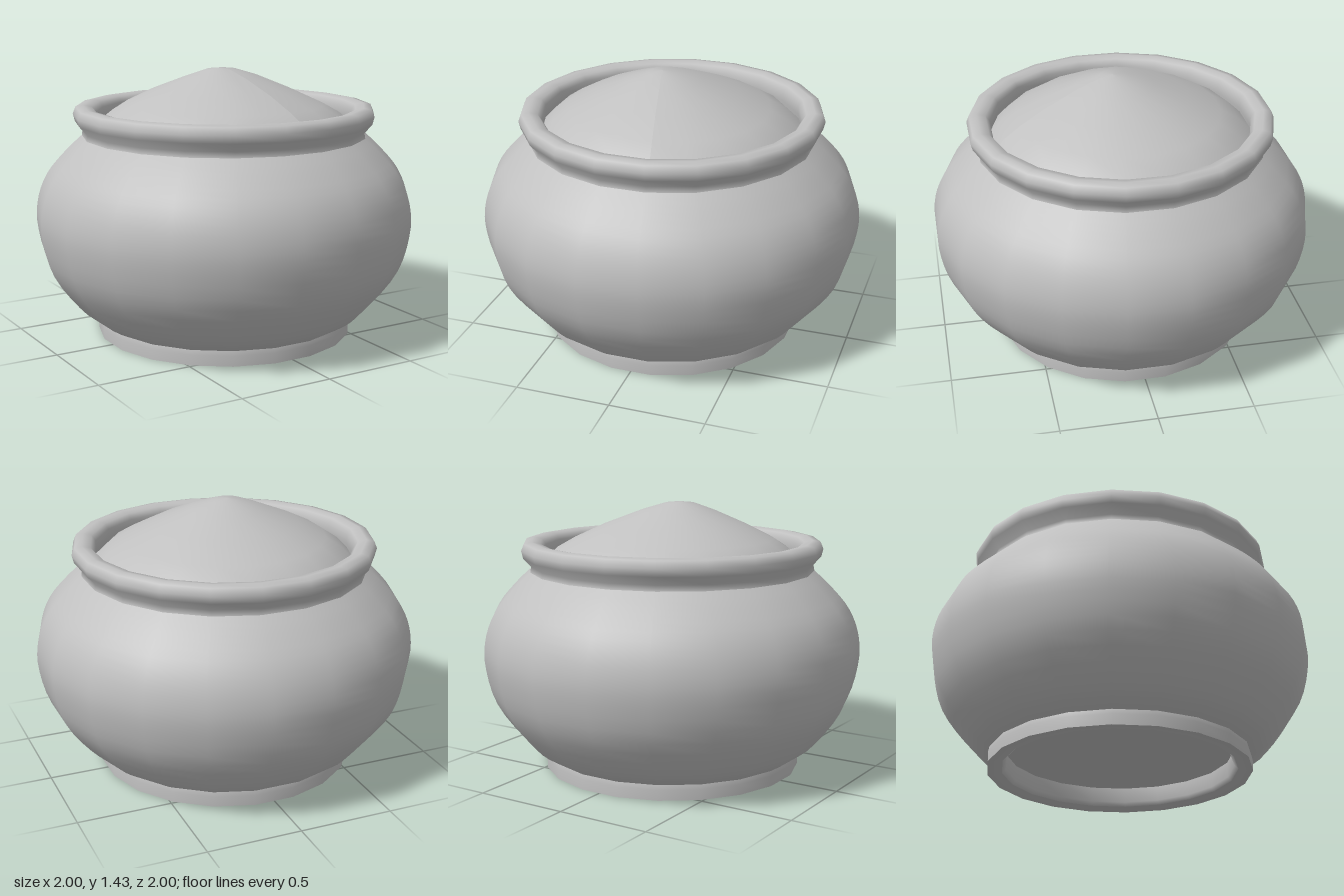
import * as THREE from 'three';

const SIDES = 20;

export function createModel() {
  const group = new THREE.Group();
  const clay = new THREE.MeshStandardMaterial({ color: 0xc0c0c0 });
  clay.name = 'grey clay';

  // Turns a profile of [radius, height] points; the outline runs from below, out, and back in
  const turn = (name, profile, smooth = false) => {
    let pts = profile.map(([r, y]) => new THREE.Vector2(r, y));
    if (smooth) pts = new THREE.SplineCurve(pts).getPoints(profile.length * 3);
    const geo = new THREE.LatheGeometry(pts, SIDES, Math.PI / SIDES);
    geo.scale(1.006, 1, 1.006);
    const mesh = new THREE.Mesh(geo, clay);
    mesh.name = name;
    group.add(mesh);
    return mesh;
  };

  // Recessed underside and foot ring
  turn('base', [[0, 0.11], [0.59, 0.11]]);
  turn('footInside', [[0.59, 0.11], [0.59, 0.03], [0.61, 0.01]]);
  turn('footUnderside', [[0.61, 0.01], [0.64, 0], [0.685, 0]]);
  turn('foot', [[0.685, 0], [0.685, 0.055], [0.68, 0.08]]);

  // Round belly up to the narrow neck
  turn('belly', [[0.68, 0.08], [0.79, 0.16], [0.94, 0.36], [1, 0.57],
    [0.995, 0.73], [0.94, 0.87], [0.84, 0.99], [0.755, 1.07]], true);

  // Rolled rim and the inner wall below it
  turn('rim', [[0.755, 1.07], [0.75, 1.1], [0.79, 1.145], [0.8, 1.185], [0.785, 1.222],
    [0.745, 1.23], [0.7, 1.22], [0.68, 1.19], [0.68, 1.14], [0.69, 1.08]]);

  // Heaped contents, slightly uneven and with an off-centre peak
  const heap = turn('heap', [[0.7, 1.1], [0.62, 1.18], [0.53, 1.235], [0.38, 1.307],
    [0.2, 1.38], [0.08, 1.42], [0, 1.428]]);
  const p = heap.geometry.attributes.position;
  for (let i = 0; i < p.count; i++) {
    const x = p.getX(i), z = p.getZ(i);
    const r = Math.hypot(x, z);
    const inner = Math.max(0, 1 - r / 0.7);
    p.setXYZ(i, x - 0.04 * inner, p.getY(i) + 0.02 * r * inner * Math.sin(9 * x + 4 * z), z + 0.03 * inner);
  }
  heap.geometry.computeVertexNormals();

  return group;
}
